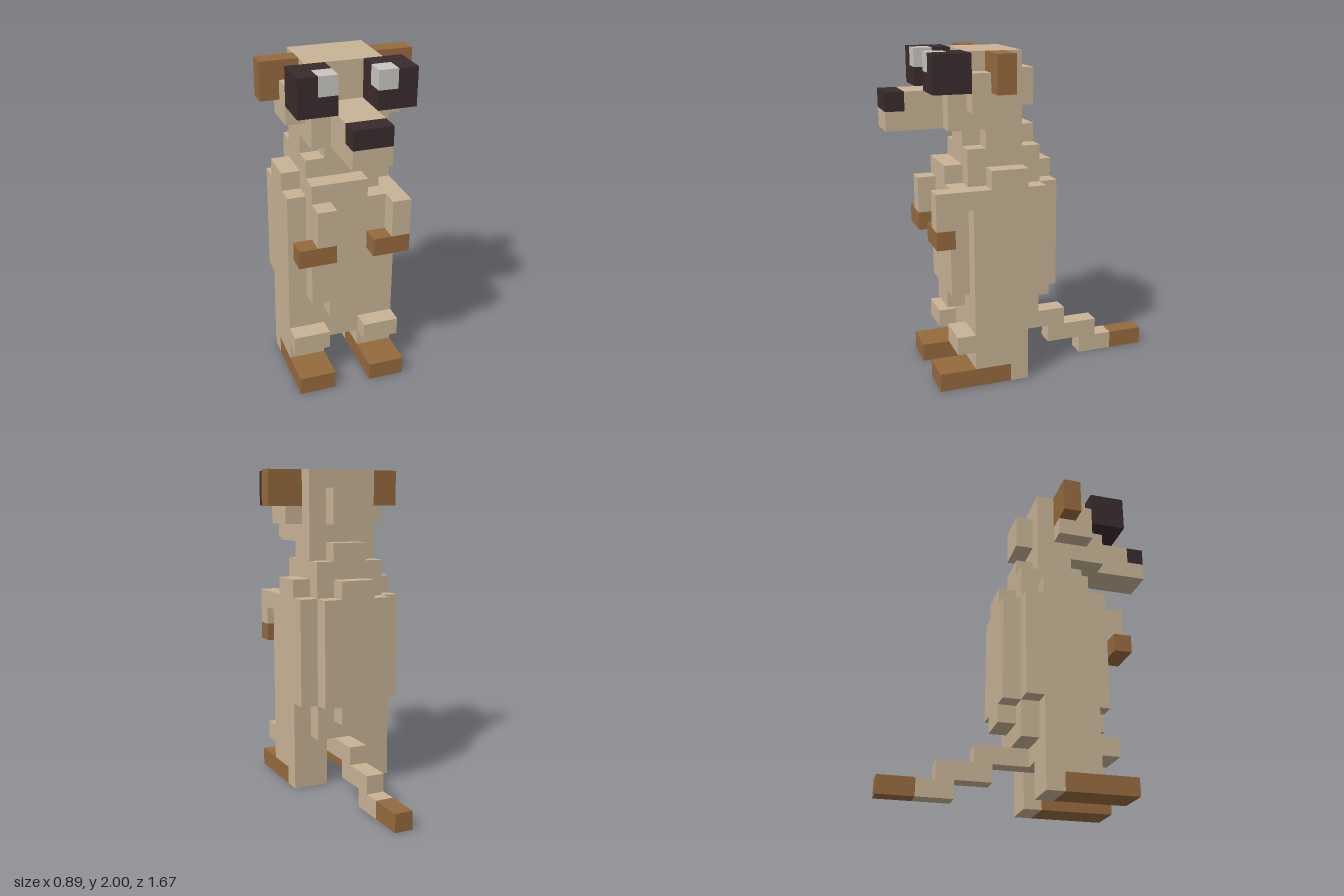
import * as THREE from 'three';

const U = 1 / 9; // size of one block

export function createModel() {
  const root = new THREE.Group();
  const material = (name, color) => {
    const m = new THREE.MeshStandardMaterial({ color });
    m.name = name;
    return m;
  };
  const fur = material('sandFur', 0xc8b396);
  const brown = material('brownFur', 0x956a3d);
  const dark = material('darkFur', 0x3a2b2d);
  const white = material('eyeShine', 0xc8c5bf);

  // block from minimum to maximum corner, in block units
  const block = (name, mat, x0, x1, y0, y1, z0, z1) => {
    const mesh = new THREE.Mesh(
      new THREE.BoxGeometry((x1 - x0) * U, (y1 - y0) * U, (z1 - z0) * U), mat);
    mesh.position.set((x0 + x1) * U / 2, (y0 + y1) * U / 2, (z0 + z1) * U / 2);
    mesh.name = name;
    root.add(mesh);
  };
  // mirrored pair, given for the +x side
  const pair = (name, mat, x0, x1, ...rest) => {
    block(name + 'Left', mat, x0, x1, ...rest);
    block(name + 'Right', mat, -x1, -x0, ...rest);
  };

  // torso
  block('torso', fur, -3, 3, 5, 11, -0.5, 3.5);
  block('hips', fur, -3, 3, 2, 5, 0.5, 3.5);
  block('rump', fur, -2, 2, 3, 5, -0.5, 0.5);
  block('backPad', fur, -2, 2, 5, 11, -1.5, -0.5);
  block('spine', fur, -1, 1, 4, 12, -1.5, -0.5);
  block('belly', fur, -2, 2, 5, 11, 3.5, 4.5);
  block('lowerBelly', fur, -1, 1, 4, 5, 3.5, 4.5);
  block('chest', fur, -2, 1, 11, 12, 3.5, 4.5);
  pair('shoulder', fur, 2, 3, 11, 12, 0.5, 2.5);

  // neck
  block('neck', fur, -2, 2, 11, 13, -0.5, 3.5);
  block('upperNeck', fur, -2, 2, 13, 14, 0.5, 2.5);
  block('throat', fur, -1, 1, 13, 14, 2.5, 3.5);
  block('nape', fur, -1, 1, 13, 14, -0.5, 0.5);

  // head
  block('head', fur, -2, 2, 14, 18, 0.5, 3.5);
  block('backOfHead', fur, -1, 1, 15, 17, -0.5, 0.5);
  block('muzzleBase', fur, -2, 2, 14, 16, 3.5, 4.5);
  block('snout', fur, -1, 1, 14, 16, 4.5, 6.5);
  block('chin', fur, -1, 1, 14, 15, 6.5, 7.5);
  block('nose', dark, -1, 1, 15, 16, 6.5, 7.5);
  pair('cheek', fur, 2, 3, 15, 16, 1.5, 3.5);
  pair('temple', fur, 2, 3, 16, 17, 2.5, 3.5);
  pair('ear', brown, 2, 4, 16, 18, 1.5, 2.5);

  // eyes: dark blocks with a pale inner upper corner
  pair('eyeLower', dark, 1, 3, 16, 17, 3.5, 5.5);
  pair('eyeBack', dark, 1, 3, 17, 18, 3.5, 4.5);
  pair('eyeOuter', dark, 2, 3, 17, 18, 4.5, 5.5);
  pair('eyeShine', white, 1, 2, 17, 18, 4.5, 5.5);

  // arms, held unevenly
  block('armLeft', fur, 2, 3, 9, 11, 4.5, 5.5);
  block('upperArmLeft', fur, 2, 3, 10, 11, 3.5, 4.5);
  block('armRight', fur, -2, -1, 9, 11, 4.5, 5.5);
  pair('hand', brown, 1, 3, 8, 9, 4.5, 5.5);

  // legs
  pair('knee', fur, 1, 3, 2, 3, 3.5, 4.5);
  pair('leg', fur, 1, 3, 1, 2, 0.5, 3.5);
  pair('heel', fur, 1, 3, 0, 1, 0.5, 1.5);
  pair('foot', brown, 1, 3, 0, 1, 1.5, 5.5);

  // stepped tail
  block('tailBase', fur, 0, 1, 2, 3, -2.5, 0.5);
  block('tailMiddle', fur, 0, 1, 1, 2, -4.5, -1.5);
  block('tailEnd', fur, 0, 1, 0, 1, -5.5, -3.5);
  block('tailTip', brown, 0, 1, 0, 1, -7.5, -5.5);

  return root;
}
